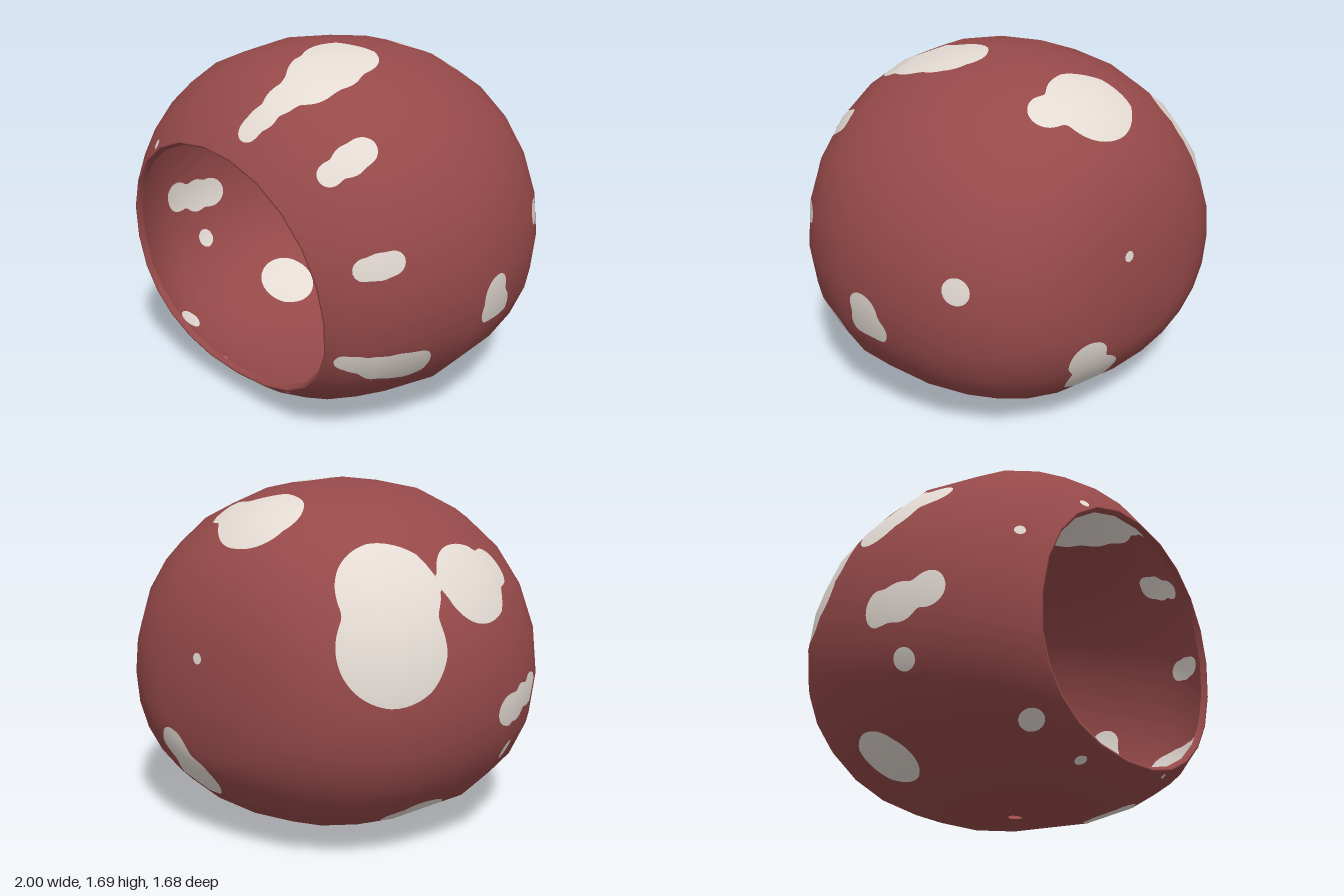
import * as THREE from 'three';

const SIDES = 24, SUB = 5, FINE = 0.025, BLEND = 0.015;
const centre = new THREE.Vector3(0, 0.8, 0.1);

// Shell sections from back to opening: z, half width, bottom, top, tilt
const sections = [
  [-0.84, 0, 0.74, 0.74, 0],
  [-0.818, 0.33, 0.48, 1.03, 0],
  [-0.77, 0.5, 0.365, 1.21, 0],
  [-0.69, 0.655, 0.25, 1.37, 0],
  [-0.55, 0.79, 0.13, 1.52, 0],
  [-0.38, 0.89, 0.06, 1.61, 0],
  [-0.15, 0.96, 0.018, 1.67, 0],
  [0.12, 1, 0, 1.69, 0],
  [0.4, 0.945, 0.022, 1.66, 0],
  [0.56, 0.875, 0.055, 1.59, 0.02],
  [0.68, 0.79, 0.09, 1.465, 0.075],
  [0.765, 0.705, 0.14, 1.31, 0.12],
];

// Pale spots: x, y, z, radius (overlapping discs make the larger blotches)
const topSpots = [
  [0.22, 1.67, 0.22, 0.175], [0.27, 1.63, 0.37, 0.165], [0.3, 1.58, 0.49, 0.12],
  [0.26, 1.53, 0.61, 0.08], [0.24, 1.46, 0.7, 0.065], [0.22, 1.42, 0.77, 0.055],
  [0, 1.55, -0.49, 0.21], [0.23, 1.55, -0.45, 0.09],
];
const leftSpots = [
  [0.65, 1.36, 0.5, 0.062], [0.64, 1.33, 0.57, 0.07], [0.62, 1.29, 0.66, 0.055],
  [0.85, 0.93, 0.52, 0.05], [0.83, 0.92, 0.58, 0.057], [0.8, 0.91, 0.64, 0.047],
  [0.84, 0.42, 0.38, 0.085], [0.82, 0.42, 0.46, 0.085], [0.79, 0.43, 0.55, 0.075],
  [0.75, 0.46, 0.63, 0.05], [0.72, 0.475, 0.68, 0.04],
  [0.98, 0.57, -0.1, 0.065], [0.98, 0.57, -0.04, 0.055], [0.98, 0.575, 0.01, 0.055], [0.99, 0.665, -0.03, 0.087],
  [0.85, 0.89, -0.53, 0.067],
  [0.46, 0.05, 0.4, 0.075], [0.49, 0.05, 0.3, 0.085], [0.52, 0.06, 0.21, 0.075],
];
const rightSpots = [
  [-0.76, 1.04, -0.49, 0.25], [-0.66, 1.26, -0.4, 0.23], [-0.83, 1.27, 0.01, 0.2], [-0.83, 1.33, 0.23, 0.105],
  [-0.98, 0.68, 0.11, 0.08], [-0.96, 0.69, 0.22, 0.09], [-0.92, 0.72, 0.35, 0.08],
  [-0.93, 0.44, 0.21, 0.052], [-0.62, 0.17, -0.14, 0.15],
];
const smallSpots = [
  [-0.43, 1.23, 0.82, 0.024], [-0.76, 0.97, 0.7, 0.026], [-0.57, 0.17, 0.61, 0.058],
  [-0.25, 0.07, 0.64, 0.03], [0.36, 0.15, 0.7, 0.016],
  [0.2, 0.315, -0.74, 0.14], [0.28, 0.47, -0.78, 0.1], [0.08, 0.93, -0.82, 0.026],
];
const prepare = ([x, y, z, r]) => {
  const dir = new THREE.Vector3(x, y, z).sub(centre);
  const dist = dir.length();
  return { dir: dir.normalize(), dist, r };
};
const hole = prepare([0, 0, 0.08, 0.033]);
const spots = [...topSpots, ...leftSpots, ...rightSpots, ...smallSpots].map(prepare);
spots.push(hole);

// Signed distance inside a spot, with neighbouring spots melting together
const inside = (s, d) => s.r - s.dir.distanceTo(d) * s.dist;
const field = (p) => {
  const d = p.clone().sub(centre).normalize();
  return BLEND * Math.log(spots.reduce((sum, s) => sum + Math.exp(inside(s, d) / BLEND), 0));
};

function ring([z, w, bottom, top, tilt], scale = 1, push = 0) {
  const mid = bottom + (top - bottom) * 0.45;
  return Array.from({ length: SIDES }, (_, j) => {
    const a = (j / SIDES) * Math.PI * 2;
    const c = Math.cos(a), s = Math.sin(a);
    const e = c < -1e-6 ? 0.88 : 0.97;
    const x = w * Math.sign(s) * Math.abs(s) ** e;
    const y = mid + (c > 0 ? top - mid : mid - bottom) * Math.sign(c) * Math.abs(c) ** e;
    const p = new THREE.Vector3(x, y, z + tilt * (y - mid));
    p.sub(centre).multiplyScalar(scale).add(centre);
    p.z += push;
    return p;
  });
}

// Thin shell ending in a lip folded inwards, with smooth normals
function shellGrid() {
  const rim = sections[sections.length - 1];
  const rings = [...sections.map((s) => ring(s)), ring(rim, 0.985, 0.011), ring(rim, 0.965, 0)];
  const index = [];
  for (let i = 0; i < rings.length - 1; i++) {
    for (let j = 0; j < SIDES; j++) {
      const k = (j + 1) % SIDES;
      const a = i * SIDES + j, b = a + SIDES, c = i * SIDES + k, d = c + SIDES;
      index.push(a, b, c, b, d, c);
    }
  }
  const g = new THREE.BufferGeometry().setFromPoints(rings.flat());
  g.setIndex(index);
  g.computeVertexNormals();
  const normals = rings.map((r, i) => r.map((_, j) =>
    new THREE.Vector3().fromBufferAttribute(g.attributes.normal, i * SIDES + j)));
  normals[0].forEach((n) => n.set(0, 0, -1));
  return { rings, normals };
}

const vertex = (p, n) => ({ p, n, f: field(p) });
const mix = (a, b, t) => vertex(a.p.clone().lerp(b.p, t), a.n.clone().lerp(b.n, t).normalize());

// Sort a triangle into the base or the spots, refining and cutting along the border
function paint(a, b, c, base, pale) {
  const size = Math.max(a.p.distanceTo(b.p), b.p.distanceTo(c.p), c.p.distanceTo(a.p));
  if (size < 1e-6) return;
  if (size > FINE && Math.min(...[a, b, c].map((v) => Math.abs(v.f))) < size * 0.55) {
    const ab = mix(a, b, 0.5), bc = mix(b, c, 0.5), ca = mix(c, a, 0.5);
    for (const t of [[a, ab, ca], [ab, b, bc], [ca, bc, c], [ab, bc, ca]]) paint(...t, base, pale);
    return;
  }
  const cut = (keep, out) => {
    const poly = [];
    [a, b, c].forEach((v, i, t) => {
      const w = t[(i + 1) % 3];
      if (keep(v)) poly.push(v);
      if (keep(v) !== keep(w)) poly.push(mix(v, w, v.f / (v.f - w.f)));
    });
    for (let i = 1; i < poly.length - 1; i++) out.push(poly[0], poly[i], poly[i + 1]);
  };
  cut((v) => v.f <= 0, base);
  // The small drain in the floor is left open
  const d = a.p.clone().add(b.p).add(c.p).divideScalar(3).sub(centre).normalize();
  if (inside(hole, d) < -0.03) cut((v) => v.f > 0, pale);
}

function toMesh(list, material, name) {
  const g = new THREE.BufferGeometry();
  g.setAttribute('position', new THREE.Float32BufferAttribute(list.flatMap((v) => v.p.toArray()), 3));
  g.setAttribute('normal', new THREE.Float32BufferAttribute(list.flatMap((v) => v.n.toArray()), 3));
  const mesh = new THREE.Mesh(g, material);
  mesh.name = name;
  return mesh;
}

export function createModel() {
  const red = new THREE.MeshStandardMaterial({ color: 0x964949, side: THREE.DoubleSide });
  red.name = 'dull red';
  const cream = new THREE.MeshStandardMaterial({ color: 0xe3dad3, side: THREE.DoubleSide });
  cream.name = 'pale cream';

  const { rings, normals } = shellGrid();
  const base = [], pale = [];
  const blend = (g, i, j, u, v) => {
    const k = (j + 1) % SIDES;
    return g[i][j].clone().lerp(g[i + 1][j], u).lerp(g[i][k].clone().lerp(g[i + 1][k], u), v);
  };
  for (let i = 0; i < rings.length - 1; i++) {
    for (let j = 0; j < SIDES; j++) {
      const at = (u, v) => vertex(blend(rings, i, j, u / SUB, v / SUB), blend(normals, i, j, u / SUB, v / SUB).normalize());
      for (let u = 0; u < SUB; u++) {
        for (let v = 0; v < SUB; v++) {
          const a = at(u, v), b = at(u + 1, v), c = at(u, v + 1), d = at(u + 1, v + 1);
          paint(a, b, c, base, pale);
          paint(b, d, c, base, pale);
        }
      }
    }
  }

  const model = new THREE.Group();
  model.name = 'spottedShell';
  model.add(toMesh(base, red, 'shell'), toMesh(pale, cream, 'spots'));
  return model;
}
